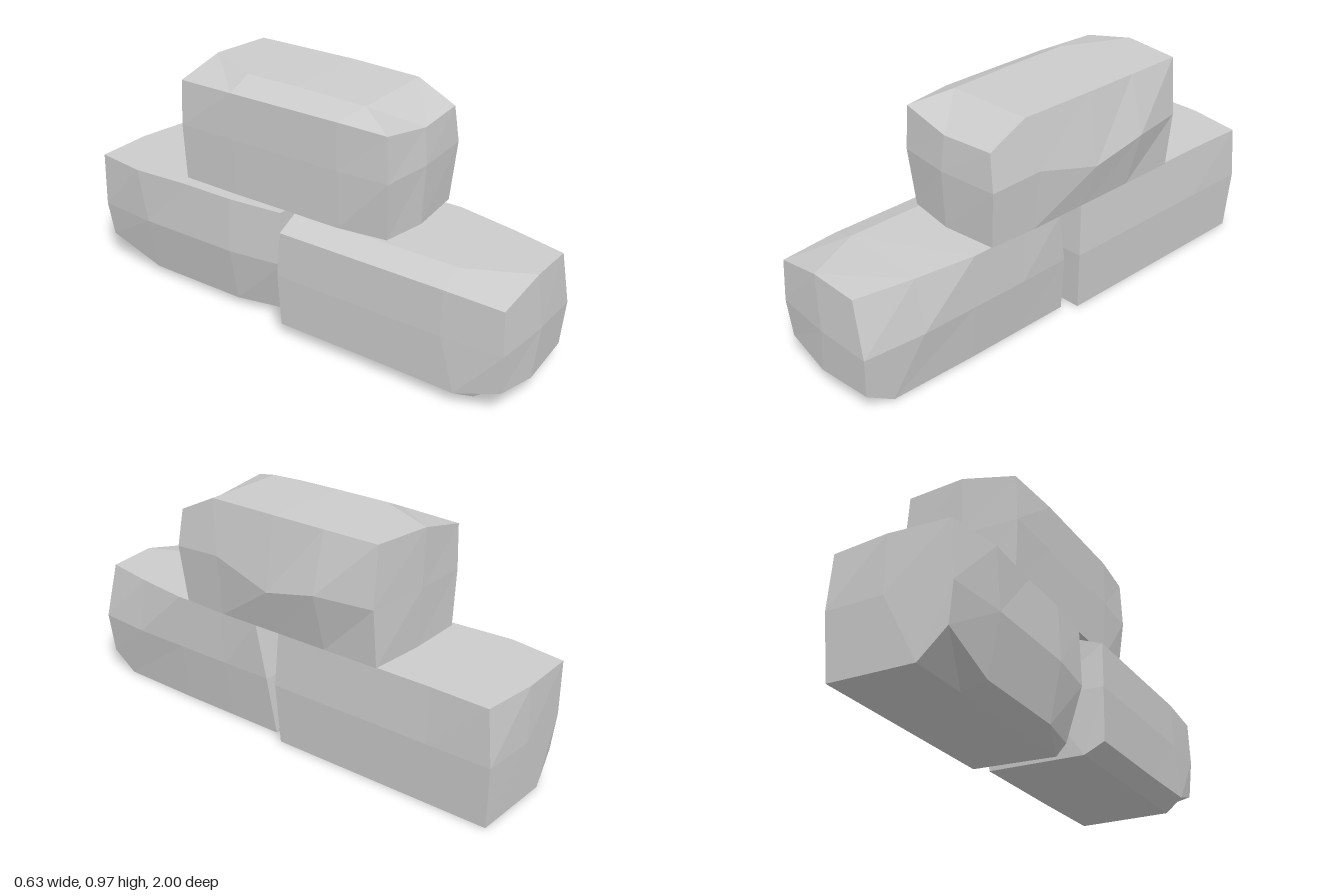
import * as THREE from 'three';

// A rough stone: a 2 x 2 x 4 lattice box. "section" gives the [x, y] of the
// nine lattice columns (rows bottom to top, each left to right), "stations" the z
// of the five lattice slices, and "chips" moves single points {at: [i, j, k], to: [x, y, z]}.
function makeStone(name, { section, stations, chips }) {
  const geometry = new THREE.BoxGeometry(2, 2, 4, 2, 2, 4);
  const moved = new Map(chips.map(({ at, to }) => [at.join(), to]));
  const pos = geometry.attributes.position;
  for (let n = 0; n < pos.count; n++) {
    const i = Math.round(pos.getX(n)) + 1;
    const j = Math.round(pos.getY(n)) + 1;
    const k = Math.round(pos.getZ(n)) + 2;
    const [x, y] = section[j][i];
    let z = stations[k];
    // the ends swell a little towards their middle
    if (k === 0 || k === 4) z += (k ? 1 : -1) * 0.012 * ((i === 1) + (j === 1));
    pos.setXYZ(n, ...(moved.get([i, j, k].join()) ?? [x, y, z]));
  }
  geometry.computeVertexNormals();
  const material = new THREE.MeshStandardMaterial({ color: 0xcccccc, flatShading: true });
  const mesh = new THREE.Mesh(geometry, material);
  mesh.name = name;
  return mesh;
}

const chip = (i, j, k, x, y, z) => ({ at: [i, j, k], to: [x, y, z] });

const frontStone = {
  section: [
    [[-0.31, 0.045], [-0.23, 0], [0.18, 0.005]],
    [[-0.317, 0.26], [-0.05, 0.26], [0.218, 0.26]],
    [[-0.312, 0.445], [-0.2, 0.483], [0.22, 0.485]],
  ],
  stations: [0.02, 0.26, 0.5, 0.74, 0.975],
  chips: [
    // narrowed front end
    chip(2, 2, 4, 0.13, 0.475, 0.975), chip(2, 1, 4, 0.185, 0.25, 0.985),
    chip(1, 2, 4, -0.08, 0.485, 0.985), chip(0, 2, 4, -0.3, 0.435, 0.975),
    chip(0, 1, 4, -0.303, 0.26, 0.985), chip(2, 2, 3, 0.18, 0.48, 0.74),
    // bevel under the front
    chip(2, 0, 4, 0.165, 0.075, 0.975), chip(1, 0, 4, -0.085, 0.062, 0.99),
    chip(0, 0, 4, -0.29, 0.1, 0.975), chip(2, 0, 3, 0.17, 0.002, 0.86),
    chip(1, 0, 3, -0.23, 0, 0.84), chip(0, 0, 3, -0.315, 0.045, 0.8),
    // slanted back corner
    chip(2, 2, 0, 0.228, 0.485, 0.08), chip(2, 1, 0, 0.215, 0.26, 0.04),
  ],
};

const backStone = {
  section: [
    [[-0.23, 0.025], [-0.13, 0], [0.22, 0.003]],
    [[-0.275, 0.26], [0, 0.26], [0.237, 0.26]],
    [[-0.265, 0.487], [0, 0.488], [0.228, 0.487]],
  ],
  stations: [-0.975, -0.72, -0.5, -0.27, -0.035],
  chips: [
    // chipped lower back corner
    chip(0, 0, 0, -0.235, 0.11, -0.975), chip(0, 1, 0, -0.255, 0.26, -0.985),
    chip(0, 2, 0, -0.245, 0.485, -0.99), chip(1, 2, 0, 0, 0.488, -0.995),
    chip(2, 2, 0, 0.235, 0.487, -0.965), chip(0, 2, 1, -0.28, 0.487, -0.76),
    // front end
    chip(0, 0, 4, -0.19, 0.03, -0.06), chip(0, 1, 4, -0.245, 0.26, -0.03),
    chip(0, 2, 4, -0.24, 0.485, -0.035),
  ],
};

const topStone = {
  section: [
    [[-0.23, 0.497], [0, 0.488], [0.245, 0.495]],
    [[-0.237, 0.73], [0, 0.73], [0.305, 0.735]],
    [[-0.236, 0.92], [-0.13, 0.967], [0.252, 0.97]],
  ],
  stations: [-0.505, -0.27, -0.04, 0.23, 0.44],
  chips: [
    // sloped front of the top
    chip(0, 2, 4, -0.22, 0.91, 0.435), chip(1, 2, 4, 0.01, 0.875, 0.45),
    chip(2, 2, 4, 0.24, 0.885, 0.435), chip(1, 2, 3, -0.13, 0.96, 0.28),
    chip(2, 2, 3, 0.24, 0.965, 0.27), chip(0, 0, 4, -0.2, 0.495, 0.43),
    chip(2, 0, 4, 0.235, 0.495, 0.43), chip(0, 1, 4, -0.225, 0.73, 0.445),
    // uneven bulge along the right side
    chip(2, 1, 4, 0.262, 0.735, 0.445), chip(2, 1, 3, 0.275, 0.75, 0.23),
    chip(2, 1, 2, 0.3, 0.68, -0.04), chip(2, 1, 1, 0.313, 0.735, -0.27),
    chip(2, 1, 0, 0.27, 0.73, -0.505),
    // back edge
    chip(0, 2, 0, -0.225, 0.915, -0.53), chip(1, 2, 0, 0, 0.967, -0.535),
    chip(0, 1, 0, -0.235, 0.73, -0.53), chip(0, 0, 0, -0.225, 0.497, -0.525),
  ],
};

export function createModel() {
  const group = new THREE.Group();
  group.name = 'stonePile';
  group.add(
    makeStone('frontStone', frontStone),
    makeStone('backStone', backStone),
    makeStone('topStone', topStone),
  );
  return group;
}
